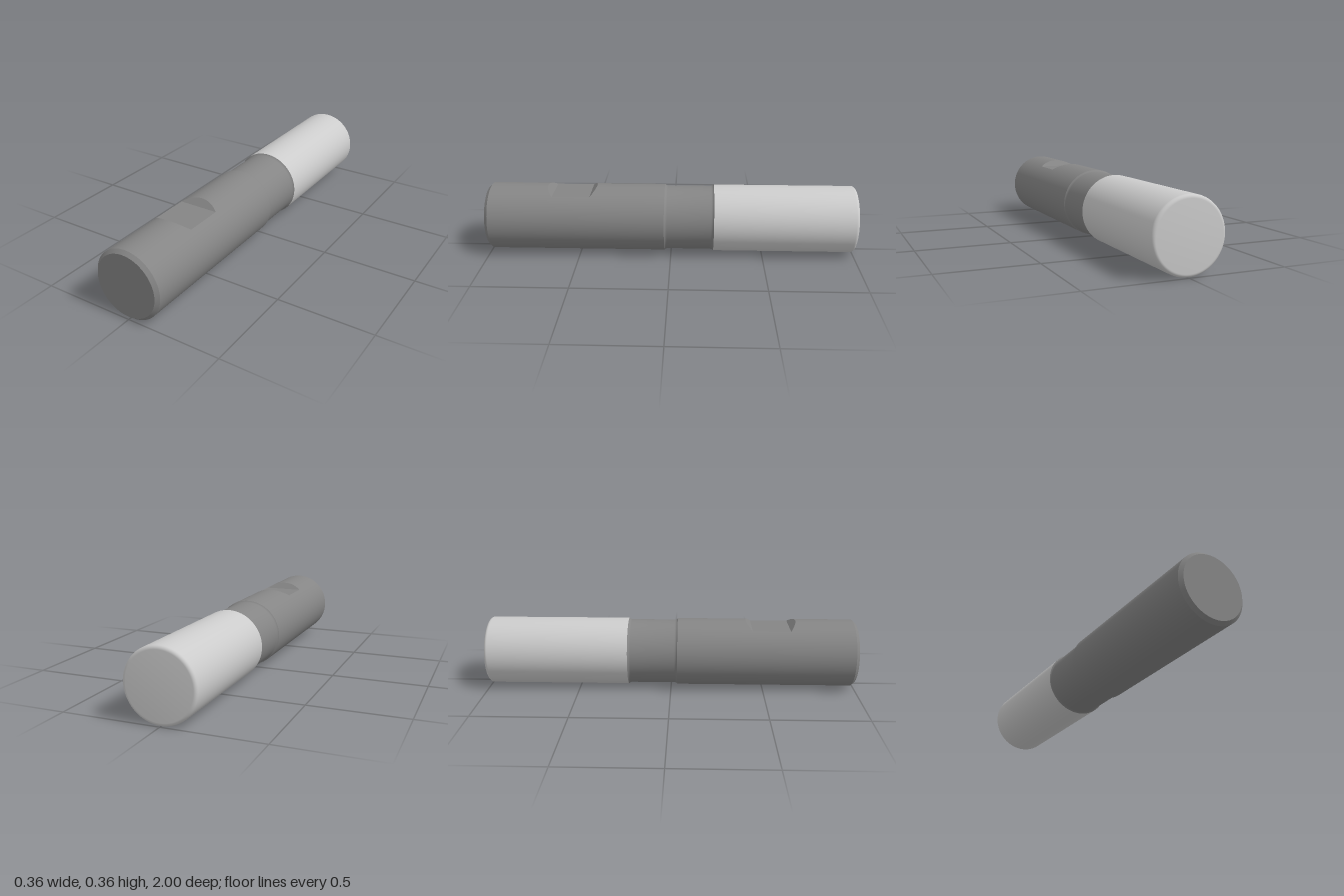
import * as THREE from 'three';
import { toCreasedNormals } from 'three/addons/utils/BufferGeometryUtils.js';

const R = 0.182;           // main radius
const NECK_R = 0.174;      // relieved neck radius
const SEG = 144;           // sides around the axis
const NECK_FRONT = 0.035, NECK_BACK = -0.232;

// Smooth normals with sharp edges; enlarged meanwhile so close vertices stay distinct
function crease(geometry) {
  geometry.scale(100, 100, 100);
  return toCreasedNormals(geometry, 0.3).scale(0.01, 0.01, 0.01);
}

// Turned part along z from [radius, z] pairs, listed back to front
function turned(profile) {
  const points = profile.map(([r, z]) => new THREE.Vector2(r, z));
  return crease(new THREE.LatheGeometry(points, SEG).rotateX(Math.PI / 2));
}

// Shank: one lengthwise line per angle, dipped where the clamping flat cuts it
function shankGeometry() {
  const floor = R * Math.cos(THREE.MathUtils.degToRad(35));
  const flatFront = 0.64, flatBack = 0.437;
  const line = (i) => {
    const a = (i % SEG) / SEG * Math.PI * 2;
    const s = Math.sin(a), c = Math.cos(a), x = R * s, y = R * c;
    const d = Math.max(0, y - floor);
    return [
      [0, 0, 1], [0.165 * s, 0.165 * c, 1], [x, y, 0.982],
      [x, y, flatFront + d], [x, y - d, flatFront],
      [x, y - d, flatBack], [x, y, flatBack - d], [x, y, NECK_FRONT],
    ].map((p) => new THREE.Vector3(...p));
  };
  const positions = [];
  const addTriangle = (...corners) => {
    if (new THREE.Triangle(...corners).getArea() < 1e-10) return;
    corners.forEach((p) => positions.push(p.x, p.y, p.z));
  };
  for (let i = 0; i < SEG; i++) {
    const p = line(i), q = line(i + 1);
    for (let k = 0; k < p.length - 1; k++) {
      addTriangle(p[k], q[k], p[k + 1]);
      addTriangle(q[k], q[k + 1], p[k + 1]);
    }
  }
  const geometry = new THREE.BufferGeometry();
  geometry.setAttribute('position', new THREE.Float32BufferAttribute(positions, 3));
  return crease(geometry);
}

// Neck: concave fillets rise from it to the full radius at both ends
function neckGeometry() {
  const steps = 6, fillet = 0.02;
  const sweep = Math.acos(1 - (R - NECK_R) / fillet);
  const run = fillet * Math.sin(sweep);
  const profile = [];
  for (let i = steps; i >= 0; i--) {
    const t = sweep * i / steps;
    profile.push([NECK_R + fillet * (1 - Math.cos(t)), NECK_BACK + run - fillet * Math.sin(t)]);
  }
  for (let i = 0; i <= steps; i++) {
    const t = sweep * i / steps;
    profile.push([NECK_R + fillet * (1 - Math.cos(t)), NECK_FRONT - run + fillet * Math.sin(t)]);
  }
  return turned(profile);
}

// Head: plain cylinder with a rounded rear edge
function headGeometry() {
  const steps = 8, round = 0.018;
  const profile = [[0, -1]];
  for (let i = 0; i <= steps; i++) {
    const t = Math.PI / 2 * i / steps;
    profile.push([R - round + round * Math.sin(t), -1 + round - round * Math.cos(t)]);
  }
  profile.push([R, NECK_BACK]);
  return turned(profile);
}

export function createModel() {
  const model = new THREE.Group();
  model.name = 'toolHolder';
  const dark = new THREE.MeshStandardMaterial({ color: 0x858585 });
  const light = new THREE.MeshStandardMaterial({ color: 0xcccccc });
  const add = (name, geometry, material) => {
    const mesh = new THREE.Mesh(geometry, material);
    mesh.name = name;
    mesh.position.y = R;
    model.add(mesh);
  };
  add('shank', shankGeometry(), dark);
  add('neck', neckGeometry(), dark);
  add('head', headGeometry(), light);
  return model;
}
